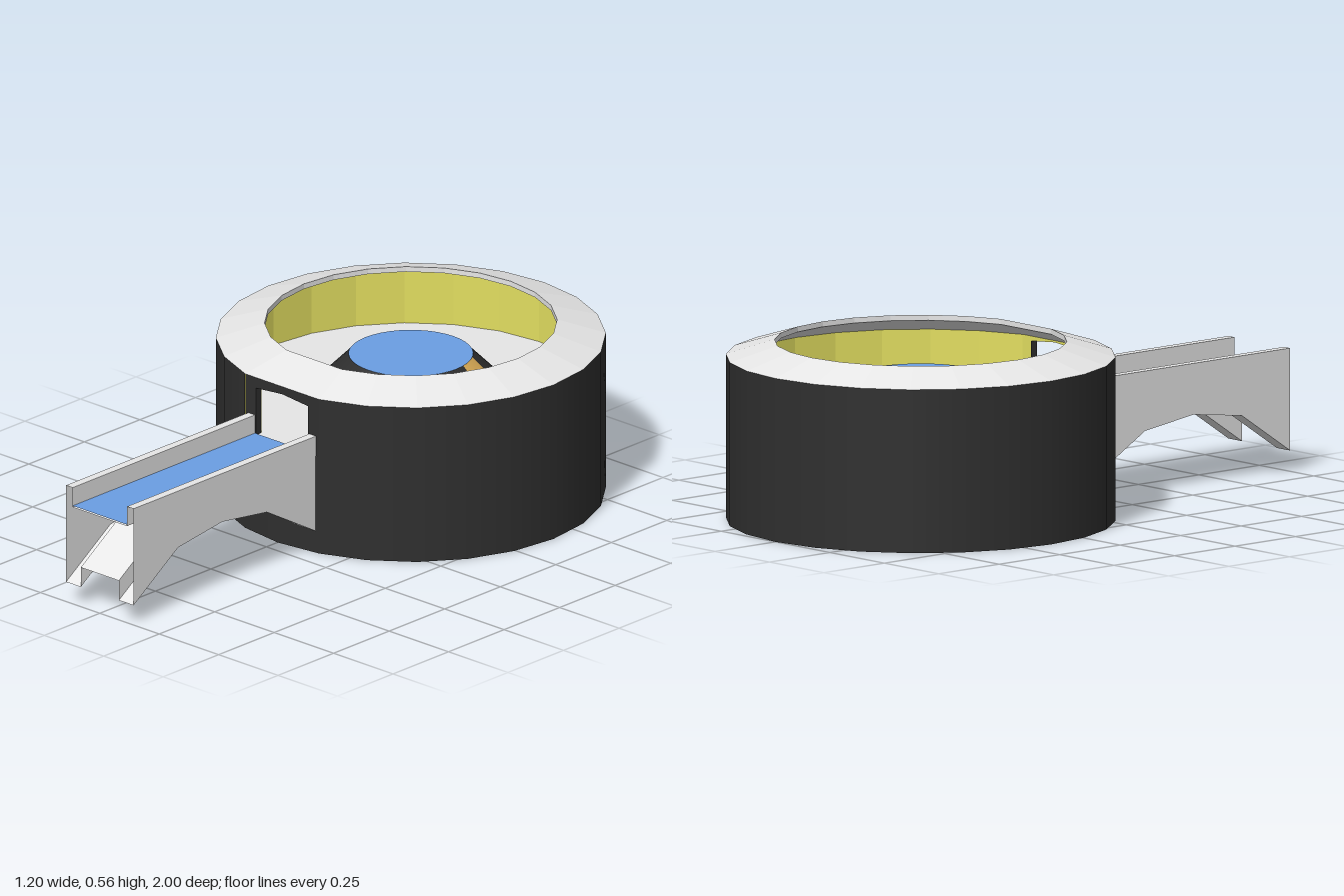
import * as THREE from 'three';

const DEG = Math.PI / 180;
const CENTRE_Z = -0.4; // axis of the round building

function material(name, color) {
  const m = new THREE.MeshStandardMaterial({ color, side: THREE.DoubleSide });
  m.name = name;
  return m;
}

// Faceted copy of a geometry
function faceted(geometry) {
  const g = geometry.index ? geometry.toNonIndexed() : geometry;
  g.computeVertexNormals();
  return g;
}

// Revolved profile of [radius, height] points; angle 0 faces the front
function turned(points, sides = 24, start = 0, length = 360) {
  const profile = points.map(([r, y]) => new THREE.Vector2(r, y));
  return new THREE.LatheGeometry(profile, sides, start * DEG, length * DEG);
}

function disc(radius, sides = 24) {
  return new THREE.CircleGeometry(radius, sides, 90 * DEG).rotateX(-90 * DEG);
}

// Wall panel outline with a doorway open at the bottom
function doorShape(halfWidth, top) {
  const s = new THREE.Shape();
  [[-halfWidth, 0.32], [-0.11, 0.32], [-0.11, 0.475], [0, 0.485], [0.11, 0.475],
    [0.11, 0.32], [halfWidth, 0.32], [halfWidth, top], [-halfWidth, top]]
    .forEach(([x, y], i) => (i ? s.lineTo(x, y) : s.moveTo(x, y)));
  return s;
}

// Open-ended channel: one cross-section swept along stations [z, underside height]
function channelGeometry(stations, waterY) {
  const section = (y) => [
    [0.142, y], [0.142, 0.385], [0.114, 0.385], [0.114, waterY],
    [-0.114, waterY], [-0.114, 0.385], [-0.142, 0.385], [-0.142, y],
    [-0.08, y], [-0.08, y + 0.065], [0.08, y + 0.065], [0.08, y],
  ];
  const pos = [];
  const index = [];
  const n = section(0).length;
  stations.forEach(([z, y], s) => {
    section(y).forEach(([px, py], i) => {
      pos.push(px, py, z);
      if (s === 0) return;
      const a = (s - 1) * n + i;
      const b = (s - 1) * n + ((i + 1) % n);
      index.push(a, b, b + n, a, b + n, a + n);
    });
  });
  const g = new THREE.BufferGeometry();
  g.setAttribute('position', new THREE.Float32BufferAttribute(pos, 3));
  g.setIndex(index);
  return faceted(g);
}

export function createModel() {
  const dark = material('dark stone', 0x2f2f2f);
  const grey = material('light grey', 0xe7e7e7);
  const blue = material('water blue', 0x6b9ee3);
  const yellow = material('inner wall yellow', 0xe2de60);
  const brown = material('golden brown', 0xe0b058);

  const model = new THREE.Group();
  const building = new THREE.Group();
  building.name = 'roundBuilding';
  building.position.z = CENTRE_Z;
  model.add(building);

  const add = (parent, name, geometry, mat, x = 0, y = 0, z = 0) => {
    const mesh = new THREE.Mesh(geometry, mat);
    mesh.name = name;
    mesh.position.set(x, y, z);
    parent.add(mesh);
    return mesh;
  };

  // Lower wall with a recessed underside
  add(building, 'lowerWall', turned([[0.6, 0], [0.6, 0.32]]), dark);
  add(building, 'undersideRim', turned([[0.577, 0.12], [0.6, 0]]), dark);
  add(building, 'recessedBase', disc(0.577), brown, 0, 0.12, 0);
  add(building, 'innerFloor', disc(0.6), grey, 0, 0.32, 0);

  // Upper wall leaves the two front sides free for a flat door panel
  add(building, 'upperWall', turned([[0.6, 0.32], [0.6, 0.51]], 22, 15, 330), dark);
  add(building, 'innerWall', faceted(turned([[0.577, 0.32], [0.577, 0.495]], 22, 15, 330)), yellow);
  const frontZ = 0.6 * Math.cos(15 * DEG);
  const panel = new THREE.ExtrudeGeometry(doorShape(0.155, 0.51), { depth: 0.023, bevelEnabled: false });
  add(building, 'doorPanel', panel, dark, 0, 0, frontZ - 0.023);
  add(building, 'doorPanelLining', new THREE.ShapeGeometry(doorShape(0.149, 0.495)), yellow, 0, 0, frontZ - 0.025);

  // Sloping roof ring, flattened above the door
  const roof = turned([[0.575, 0.49], [0.6, 0.51], [0.45, 0.557], [0.45, 0.54], [0.575, 0.49]]);
  const p = roof.attributes.position;
  for (let i = 0; i < p.count; i++) {
    if (Math.abs(p.getX(i)) < 1e-4 && p.getZ(i) > 0) p.setZ(i, p.getZ(i) * Math.cos(15 * DEG));
  }
  add(building, 'roofRing', faceted(roof), grey);

  // Central basin: sloping sides with one coloured section, water on top
  const slope = [[0.318, 0.32], [0.19, 0.45]];
  add(building, 'basinSide', turned(slope, 42, 125, 336), dark);
  add(building, 'basinRamp', turned(slope, 3, 101, 24), brown);
  add(building, 'basinWater', disc(0.192, 40), blue, 0, 0.451, 0);

  // Arched water channel leading to the door
  const channel = new THREE.Group();
  channel.name = 'waterChannel';
  model.add(channel);
  const stations = [[1, 0.065], [0.8, 0.198], [0.6, 0.225], [0.4, 0.198], [0.17, 0.065]];
  add(channel, 'channelBody', channelGeometry(stations, 0.32), grey);
  const water = new THREE.PlaneGeometry(0.227, 0.82).rotateX(-90 * DEG);
  add(channel, 'channelWater', water, blue, 0, 0.325, 0.59);

  return model;
}
